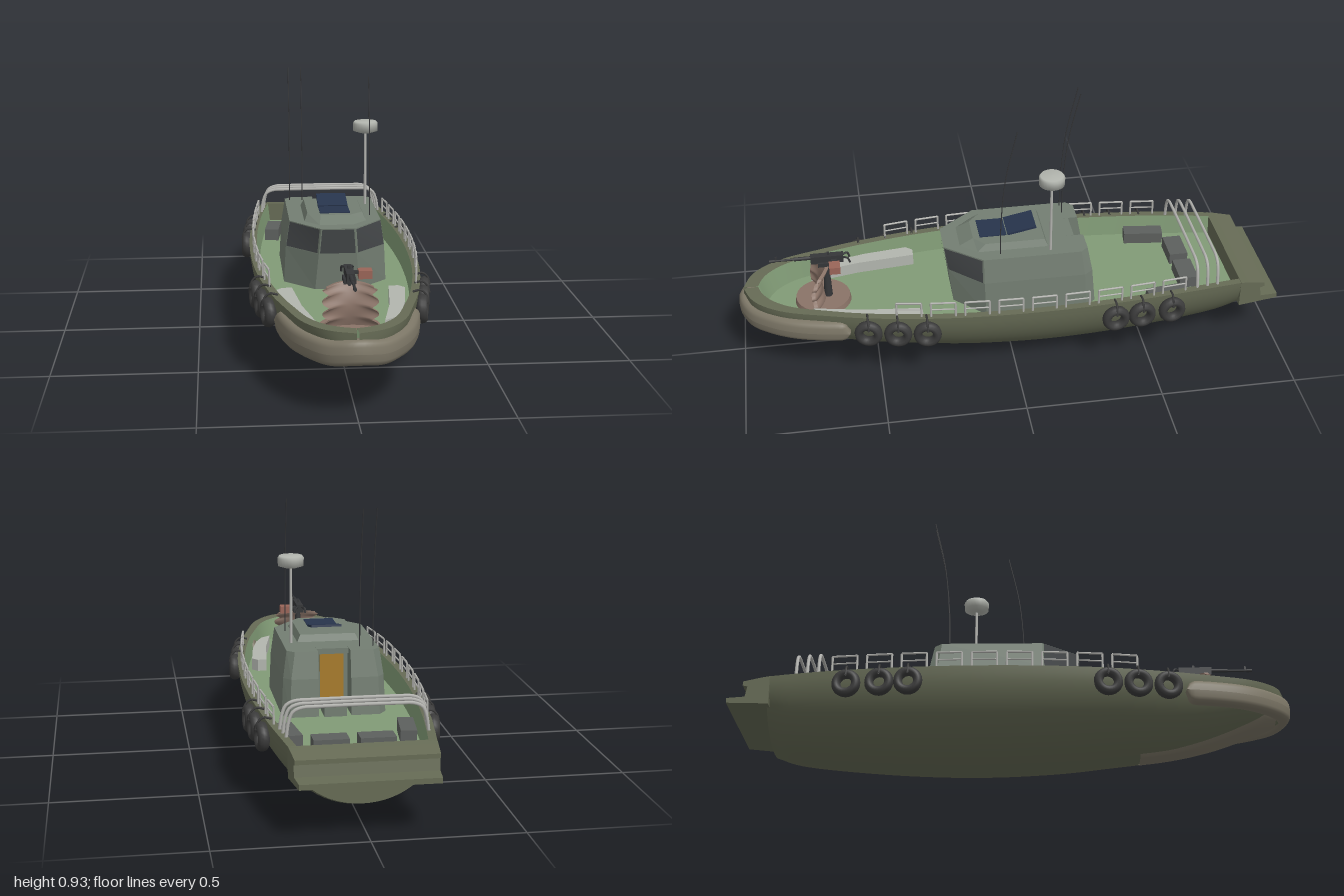
import * as THREE from 'three';

const V = (x, y, z) => new THREE.Vector3(x, y, z);
const mat = (color, flatShading = false) =>
  new THREE.MeshStandardMaterial({ color, flatShading, side: THREE.DoubleSide });
const HULL = mat(0x666b55), DECK = mat(0x819b76), CABIN = mat(0x737e72, true), FENDER = mat(0x7d7767),
  METAL = mat(0xb4b4b0), RUBBER = mat(0x3b3b3b), GLASS = mat(0x45484a), BLUE = mat(0x27344c),
  CANVAS = mat(0x8a7367), GUN = mat(0x353638), AMMO = mat(0x9a6558), DOOR = mat(0xa87c2c),
  SEAT = mat(0x5d605e), PALE = mat(0xb2b5ae);

// Hull stations: z, half width, keel height, sheer height
const STATIONS = [
  [0.978, 0.004, 0.2, 0.284], [0.95, 0.075, 0.18, 0.284], [0.9, 0.128, 0.158, 0.283],
  [0.82, 0.172, 0.13, 0.282], [0.7, 0.207, 0.09, 0.281], [0.55, 0.245, 0.056, 0.28],
  [0.35, 0.28, 0.033, 0.28], [0.15, 0.3, 0.012, 0.28], [-0.1, 0.307, 0.001, 0.28],
  [-0.35, 0.298, 0.006, 0.28], [-0.6, 0.275, 0.024, 0.279], [-0.77, 0.252, 0.045, 0.276],
  [-0.86, 0.238, 0.075, 0.273]];
const spline = (pts) => new THREE.CatmullRomCurve3(pts, false, 'catmullrom', 0.5);
const widthCurve = spline(STATIONS.map(s => V(s[0], s[1], 0)));
const heightCurve = spline(STATIONS.map(s => V(s[0], s[2], s[3])));
function station(t) {
  const a = widthCurve.getPoint(t), b = heightCurve.getPoint(t);
  return { z: a.x, w: Math.max(a.y, 0.002), keel: b.y, top: b.z };
}
function at(z) {
  let lo = 0, hi = 1;
  for (let i = 0; i < 30; i++) {
    const m = (lo + hi) / 2;
    if (widthCurve.getPoint(m).x > z) lo = m; else hi = m;
  }
  return station(lo);
}

// Skin between cross-sections (arrays of Vector3)
function loft(rings, closed = false) {
  const n = rings[0].length, idx = [];
  for (let i = 0; i < rings.length - 1; i++)
    for (let j = 0; j < (closed ? n : n - 1); j++) {
      const a = i * n + j, b = i * n + (j + 1) % n;
      idx.push(a, b, a + n, b, b + n, a + n);
    }
  const g = new THREE.BufferGeometry().setFromPoints(rings.flat());
  g.setIndex(idx);
  g.computeVertexNormals();
  return g;
}
const range = (n, f) => Array.from({ length: n + 1 }, (_, i) => f(i / n));

export function createModel() {
  const root = new THREE.Group();
  const add = (name, geo, m, x = 0, y = 0, z = 0, parent = root) => {
    const mesh = new THREE.Mesh(geo, m);
    mesh.name = name;
    mesh.position.set(x, y, z);
    parent.add(mesh);
    return mesh;
  };
  const box = (name, m, w, h, d, x, y, z, p) => add(name, new THREE.BoxGeometry(w, h, d), m, x, y, z, p);
  const tube = (name, m, pts, r, p, seg = 16) =>
    add(name, new THREE.TubeGeometry(new THREE.CatmullRomCurve3(pts), seg, r, 6), m, 0, 0, 0, p);
  const poly = (pts) => new THREE.Shape(pts.map(p => new THREE.Vector2(p[0], p[1])));

  // Hull shell with elliptical sections, closed by a transom
  const S = range(72, station);
  const section = s => range(32, u => {
    const a = Math.PI * u;
    return V(s.w * Math.cos(a), s.top - (s.top - s.keel) * Math.sin(a), s.z);
  });
  add('hull', loft(S.map(section)), HULL);
  const last = S[S.length - 1];
  add('transom', loft([section(last), section(last).map(p => V(0, 0.2, p.z))]), HULL);

  // Gunwale, inner bulwark and sunken deck
  const inner = s => ({ x: Math.max(0.001, s.w - 0.028), z: s.z - 0.05 * Math.max(0, s.z) ** 4 });
  for (const side of [1, -1]) {
    add('gunwale', loft(S.map(s => [V(side * s.w, s.top, s.z), V(side * inner(s).x, s.top, inner(s).z)])), HULL);
    add('bulwark', loft(S.map(s => [V(side * inner(s).x, s.top, inner(s).z),
      V(side * inner(s).x * 0.96, 0.2, inner(s).z - 0.03 * Math.max(0, s.z) ** 4)])), DECK);
  }
  add('deck', loft(S.map(s => [-1, 1].map(k => V(k * inner(s).x * 0.96, 0.2, inner(s).z - 0.03 * Math.max(0, s.z) ** 4)))), DECK);

  // Stepped stern platform, narrowing aft
  const stern = new THREE.ExtrudeGeometry(poly([[-0.85, 0.274], [-0.88, 0.27], [-0.945, 0.258], [-0.945, 0.243],
    [-0.928, 0.238], [-0.935, 0.2], [-1, 0.198], [-1, 0.18], [-0.85, 0.17]]), { depth: 2, bevelEnabled: false });
  const sp = stern.attributes.position;
  for (let i = 0; i < sp.count; i++) {
    const z = sp.getX(i), w = 0.24 + (z + 0.85) * 0.1;
    sp.setXYZ(i, (1 - sp.getZ(i)) * w, sp.getY(i), z);
  }
  stern.computeVertexNormals();
  add('sternPlatform', stern, HULL);

  // Bow fender and the tongue under the stem
  const bow = [[0.215, 0.6], [0.2, 0.7], [0.172, 0.8], [0.13, 0.88], [0.075, 0.942]];
  const bowPath = new THREE.CatmullRomCurve3([...bow.map(p => V(p[0], 0.213, p[1])), V(0, 0.222, 0.97),
    ...bow.slice().reverse().map(p => V(-p[0], 0.213, p[1]))]);
  add('bowFender', loft(range(64, t => {
    const c = bowPath.getPointAt(t), d = bowPath.getTangentAt(t), e = Math.min(t, 1 - t) * 22;
    const k = Math.sqrt(Math.max(0.002, 1 - (1 - Math.min(1, e)) ** 2));
    return range(15, u => {
      const a = u * Math.PI * 2, r = 0.03 * Math.sign(Math.cos(a)) * Math.abs(Math.cos(a)) ** 0.7;
      return V(c.x + d.z * r, c.y + 0.042 * k * Math.sign(Math.sin(a)) * Math.abs(Math.sin(a)) ** 0.7, c.z - d.x * r);
    });
  }), true), FENDER);
  add('stemTongue', loft(range(24, t => {
    const s = at(0.94 - 0.49 * t), hw = Math.min(0.095 - 0.04 * Math.min(1, t * 1.3), s.w * 0.85);
    return range(10, u => {
      const x = hw * (2 * u - 1), edge = Math.abs(2 * u - 1) === 1 ? -0.004 : 0.007;
      return V(x, s.top - (s.top - s.keel) * Math.sqrt(1 - (x / s.w) ** 2) - edge, s.z);
    });
  })), FENDER);

  // Cabin: half plans mirrored, skinned between levels, then roofed
  const plan = (half, y) => [...half, ...half.slice().reverse().map(p => [-p[0], p[1]])].map(p => V(p[0], y, p[1]));
  const block = (name, rings) => {
    const g = add(name, loft(rings, true).toNonIndexed(), CABIN);
    const top = rings[rings.length - 1];
    const roof = new THREE.ShapeGeometry(poly(top.map(p => [p.x, -p.z]))).rotateX(-Math.PI / 2);
    add(name + 'Top', roof, CABIN, 0, top[0].y, 0);
    return g;
  };
  const sill = plan([[0.068, 0.226], [0.18, 0.105], [0.18, -0.268], [0.155, -0.3], [0.058, -0.3], [0.058, -0.22]], 0.335);
  const eave = plan([[0.06, 0.24], [0.166, 0.105], [0.166, -0.255], [0.14, -0.282], [0.058, -0.282], [0.058, -0.22]], 0.43);
  block('cabin', [plan([[0.08, 0.21], [0.187, 0.1], [0.187, -0.275], [0.16, -0.312], [0.058, -0.312], [0.058, -0.22]], 0.2), sill, eave]);
  block('raisedRoof', [plan([[0.06, 0.18], [0.112, 0.12], [0.112, -0.14]], 0.43),
    plan([[0.055, 0.13], [0.1, 0.09], [0.1, -0.13]], 0.455)]);

  // Windscreen panes, set just proud of the cabin
  const n = sill.length;
  for (const [i, j] of [[n - 1, 0], [0, 1], [n - 2, n - 1]]) {
    const c = [sill[i], sill[j], eave[i], eave[j]];
    const mid = c.reduce((a, p) => a.add(p), V(0, 0, 0)).multiplyScalar(0.25);
    const out = V(0, 0, 0).crossVectors(c[1].clone().sub(c[0]), c[2].clone().sub(c[0])).normalize();
    if (out.z < 0) out.negate();
    const q = c.map(p => p.clone().lerp(mid, 0.06).addScaledVector(out, 0.003));
    add('windscreenPane', loft([[q[0], q[1]], [q[2], q[3]]]), GLASS);
  }

  // Roof hatch, rear door and step
  box('hatchOpening', BLUE, 0.11, 0.004, 0.1, 0, 0.456, 0.055);
  box('hatchLid', BLUE, 0.11, 0.008, 0.11, 0, 0.468, -0.052).rotation.x = 0.2;
  box('door', DOOR, 0.085, 0.19, 0.006, 0, 0.315, -0.225);
  box('doorHeader', CABIN, 0.115, 0.02, 0.03, 0, 0.42, -0.232);
  box('doorStep', CABIN, 0.08, 0.05, 0.08, 0, 0.225, -0.28);

  // Radar mast and whip aerials
  add('radarMast', new THREE.CylinderGeometry(0.005, 0.005, 0.29, 8), METAL, 0.135, 0.572, -0.145);
  add('radarDome', new THREE.LatheGeometry([[0, 0.703], [0.022, 0.706], [0.046, 0.714], [0.047, 0.742], [0.041, 0.75], [0, 0.751]]
    .map(p => new THREE.Vector2(...p)), 24), PALE, 0.135, 0, -0.145);
  for (const [x, z] of [[-0.148, -0.23], [-0.1, -0.23], [0.133, 0.04]])
    tube('aerial', GUN, [V(x, 0.42, z), V(x, 0.57, z - 0.003), V(x, 0.75, z - 0.02), V(x, 0.935, z - 0.06)], 0.002);

  // Guard rails, tyre fenders, bow benches and stern side seats
  for (const side of [1, -1]) {
    const rail = new THREE.Group();
    rail.name = 'guardRail';
    root.add(rail);
    for (let i = 0; i < 9; i++) {
      const z0 = 0.435 - i * 0.1222, p = [z0, z0 - 0.088].map(z => V(side * (at(z).w - 0.014), 0.28, z));
      const up = (v, h) => v.clone().setY(0.28 + h);
      tube('railPost', METAL, [p[0], up(p[0], 0.058)], 0.004, rail, 1);
      tube('railPost', METAL, [p[1], up(p[1], 0.058)], 0.004, rail, 1);
      tube('railTop', METAL, [up(p[0], 0.058), up(p[1], 0.058)], 0.004, rail, 1);
      tube('railMiddle', METAL, [up(p[0], 0.03), up(p[1], 0.03)], 0.003, rail, 1);
    }
    for (const z of [0.54, 0.435, 0.33, -0.36, -0.46, -0.575]) {
      const w = at(z).w, slope = (at(z + 0.03).w - at(z - 0.03).w) / 0.06;
      const tyre = add('tyreFender', new THREE.TorusGeometry(0.035, 0.016, 10, 24), RUBBER, side * (w + 0.014), 0.222, z);
      tyre.rotation.y = Math.atan2(side, -slope);
      tyre.scale.z = 1.25;
      tube('tyreStrap', RUBBER, [V(side * (w - 0.02), 0.282, z), V(side * (w + 0.008), 0.287, z),
        V(side * (w + 0.026), 0.272, z), V(side * (w + 0.034), 0.245, z)], 0.004);
    }
    const bench = new THREE.ExtrudeGeometry(poly([[0.225, -0.36], [0.205, -0.335], [0.17, -0.335], [0.148, -0.55],
      [0.112, -0.73], [0.15, -0.7], [0.18, -0.63], [0.205, -0.52]].map(p => [side * p[0], p[1]])),
    { depth: 0.045, bevelEnabled: false }).rotateX(-Math.PI / 2);
    add('bowBench', bench, PALE, 0, 0.2, 0);
    box('sternSideSeat', SEAT, 0.055, 0.045, 0.15, side * 0.2, 0.222, -0.58).rotation.y = side * 0.12;
    box('sternSeat', SEAT, 0.12, 0.045, 0.07, side * 0.078, 0.222, -0.68);
  }

  // Arched bars over the stern
  for (const z of [-0.68, -0.72, -0.76]) {
    const w = at(z).w - 0.02;
    const arc = [[w, 0.27], [w - 0.008, 0.325], [w - 0.022, 0.358], [w - 0.05, 0.371], [w - 0.1, 0.373]];
    tube('sternArch', METAL, [...arc.map(p => V(p[0], p[1], z)), ...arc.reverse().map(p => V(-p[0], p[1], z))], 0.006, root, 48);
  }

  // Gun mount: round base, scalloped curved shield, gun and ammunition box
  const mount = new THREE.Group();
  mount.name = 'gunMount';
  mount.position.z = 0.69;
  root.add(mount);
  add('mountBase', new THREE.CylinderGeometry(0.1, 0.104, 0.02, 32), CANVAS, 0, 0.21, 0, mount);
  const face = (off) => range(28, v => range(16, u => {
    const k = 2 * u - 1, hw = (0.066 + 0.026 * Math.abs(Math.sin(v * Math.PI * 3.5 + 0.3))) * (v > 0.93 ? 0.85 : 1);
    return V(k * hw, 0.21 + v * 0.152 - 0.012 * k * k * v, off + 0.03 * k * k + 0.022 * Math.sin(v * 3) - 0.02 * v);
  }));
  add('shieldFront', loft(face(0)), CANVAS, 0, 0, 0, mount);
  add('shieldBack', loft(face(-0.014)), CANVAS, 0, 0, 0, mount);
  const rim = f => [...f.map(r => r[0]), ...f[28], ...f.map(r => r[16]).reverse()];
  add('shieldRim', loft([rim(face(0)), rim(face(-0.014))]), CANVAS, 0, 0, 0, mount);
  add('pintle', new THREE.CylinderGeometry(0.01, 0.016, 0.17, 12), GUN, 0, 0.295, -0.02, mount);
  box('receiver', GUN, 0.026, 0.03, 0.12, 0, 0.386, -0.025, mount);
  box('cradle', GUN, 0.042, 0.016, 0.06, 0, 0.368, -0.02, mount);
  const barrel = (r, len, z) => add('barrel', new THREE.CylinderGeometry(r, r, len, 10).rotateX(Math.PI / 2), GUN, 0, 0.392, z, mount);
  barrel(0.007, 0.07, 0.06);
  barrel(0.004, 0.11, 0.13);
  barrel(0.006, 0.02, 0.175);
  box('frontSight', GUN, 0.004, 0.016, 0.006, 0, 0.402, 0.16, mount);
  box('rearSight', GUN, 0.008, 0.012, 0.008, 0, 0.406, -0.03, mount);
  for (const side of [1, -1]) {
    tube('gunGrip', GUN, [V(side * 0.006, 0.39, -0.08), V(side * 0.018, 0.39, -0.1), V(side * 0.018, 0.372, -0.108)], 0.004, mount);
  }
  box('ammunitionBox', AMMO, 0.045, 0.028, 0.04, 0.055, 0.378, -0.05, mount);
  box('feedBracket', GUN, 0.03, 0.008, 0.02, 0.024, 0.384, -0.05, mount);
  return root;
}
